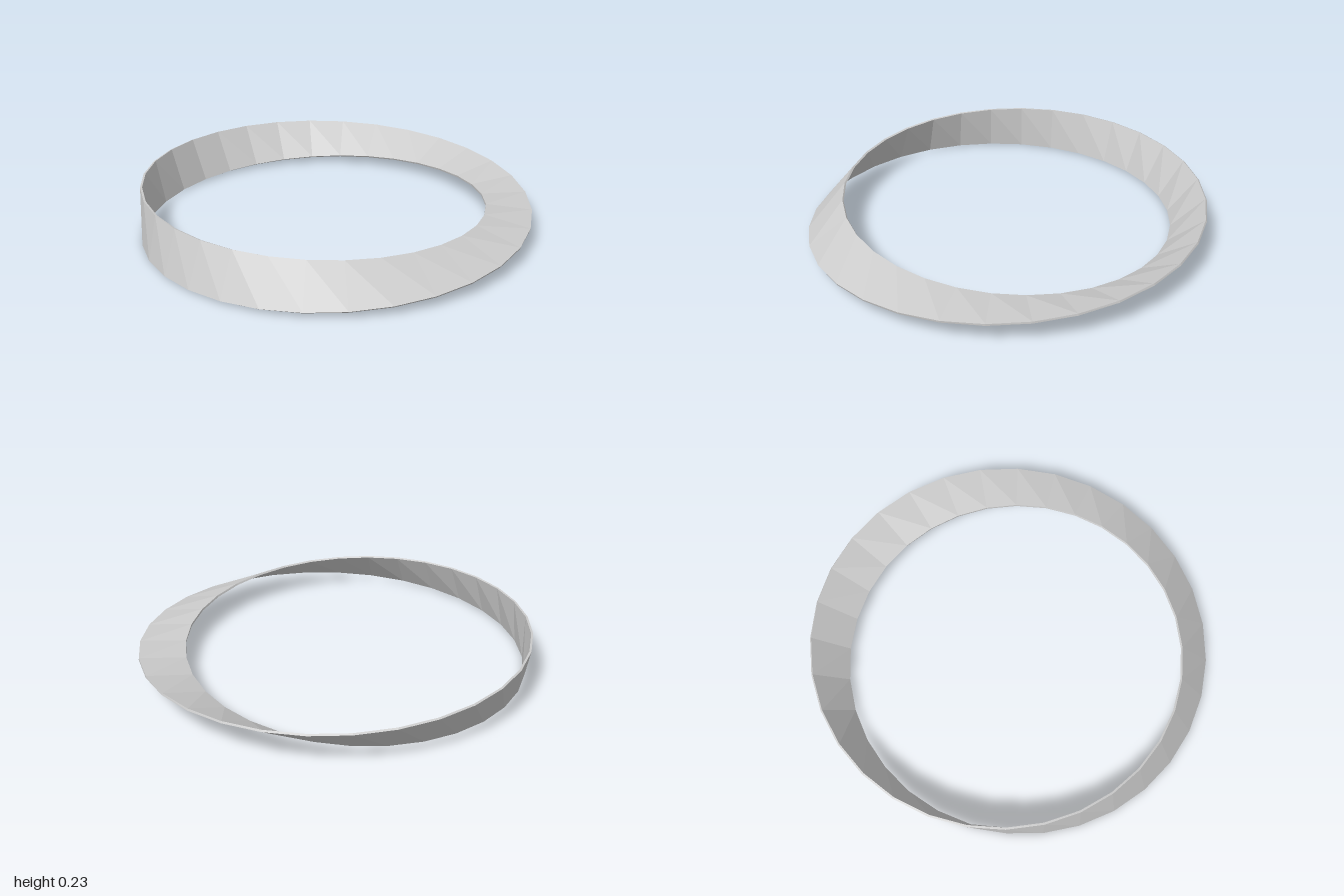
import * as THREE from 'three';

const SEGMENTS = 32;
const RADIUS = 0.914;     // centre line of the band
const HALF_WIDTH = 0.115;
const HALF_THICK = 0.005;
const CENTRE = new THREE.Vector3(-0.055, 0.115, 0);

// Corners of the rectangular cross-section, as signs along width and normal
const CORNERS = [[1, 1], [-1, 1], [-1, -1], [1, -1]];

// Corner of the section at angle u; the section makes half a turn per lap
function corner(u, [a, b]) {
  const w = a * HALF_WIDTH, n = b * HALF_THICK;
  const c = Math.cos(u / 2), s = Math.sin(u / 2);
  const r = RADIUS + w * c + n * s;
  return new THREE.Vector3(r * Math.cos(u), n * c - w * s, r * Math.sin(u)).add(CENTRE);
}

// One-sided twisted band, closed on itself after the half turn
function twistedBand() {
  const positions = [], indices = [];
  for (let i = 0; i <= SEGMENTS; i++) {
    const u = (i / SEGMENTS) * Math.PI * 2;
    CORNERS.forEach((k) => positions.push(...corner(u, k).toArray()));
  }
  for (let i = 0; i < SEGMENTS; i++) {
    for (let j = 0; j < 4; j++) {
      const a = i * 4 + j, b = i * 4 + ((j + 1) % 4);
      indices.push(a, b, b + 4, a, b + 4, a + 4);
    }
  }
  const indexed = new THREE.BufferGeometry();
  indexed.setAttribute('position', new THREE.Float32BufferAttribute(positions, 3));
  indexed.setIndex(indices);
  const geometry = indexed.toNonIndexed();
  geometry.computeVertexNormals();
  return geometry;
}

export function createModel() {
  const group = new THREE.Group();
  group.name = 'mobiusStrip';
  const material = new THREE.MeshStandardMaterial({ color: 0xcccccc, flatShading: true });
  const band = new THREE.Mesh(twistedBand(), material);
  band.name = 'twistedBand';
  group.add(band);
  return group;
}
